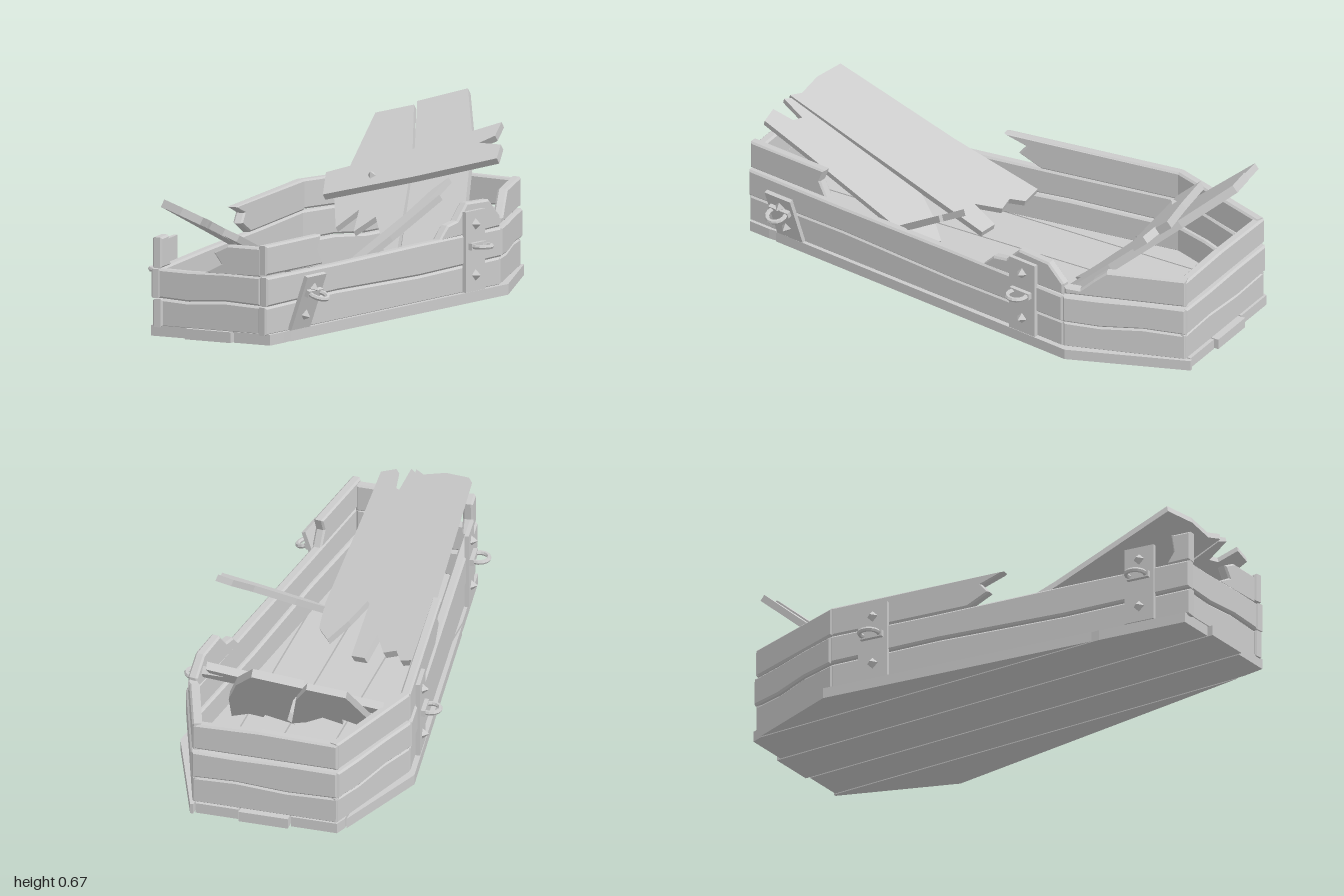
import * as THREE from 'three';

const mat = new THREE.MeshStandardMaterial({ color: 0xcccccc, flatShading: true });

function add(parent, geo, name) {
  const m = new THREE.Mesh(geo, mat);
  m.name = name;
  parent.add(m);
  return m;
}

const shapeOf = (pts) => new THREE.Shape(pts.map(([x, y]) => new THREE.Vector2(x, y)));

// Board seen from above: outline of [x, z], lying on the plane y = a + b x + c z
function slab(parent, name, outline, [a, b, c], t) {
  const geo = new THREE.ExtrudeGeometry(shapeOf(outline.map(([x, z]) => [x, -z])), { depth: t, bevelEnabled: false });
  const n = new THREE.Vector3(-b, 1, -c).normalize();
  const p = geo.attributes.position;
  for (let i = 0; i < p.count; i++) {
    const x = p.getX(i), z = -p.getY(i), h = p.getZ(i);
    p.setXYZ(i, x + n.x * h, a + b * x + c * z + n.y * h, z + n.z * h);
  }
  geo.computeVertexNormals();
  return add(parent, geo, name);
}

// Upright wall board: outline of [distance from start, height], thickness going inward
function wallBoard(parent, name, [ax, az], [bx, bz], outline, inset = 0) {
  const bev = 0.007;
  const geo = new THREE.ExtrudeGeometry(shapeOf(outline), {
    depth: 0.024, bevelEnabled: true, bevelSegments: 1, bevelSize: bev, bevelOffset: -bev, bevelThickness: bev,
  });
  geo.translate(0, 0, bev + inset);
  const X = new THREE.Vector3(bx - ax, 0, bz - az).normalize();
  const Y = new THREE.Vector3(0, 1, 0);
  geo.applyMatrix4(new THREE.Matrix4().makeBasis(X, Y, X.clone().cross(Y)).setPosition(ax, 0, az));
  return add(parent, geo, name);
}

// Iron strap with pyramid studs and a ring; local +z points out of the wall
function strap(parent, name, x, z, height, ringY, turn, tilt) {
  const g = new THREE.Group();
  g.name = name;
  g.position.set(x, 0.04, z);
  g.rotation.set(tilt, turn, 0, 'YXZ');
  add(g, new THREE.BoxGeometry(0.12, height, 0.016), 'strapPlate').position.y = height / 2;
  for (const y of [0.06, height - 0.05]) {
    const geo = new THREE.ConeGeometry(0.022, 0.025, 4).rotateX(Math.PI / 2);
    add(g, geo, 'stud').position.set(0, y, 0.02);
  }
  add(g, new THREE.BoxGeometry(0.09, 0.025, 0.025), 'ringBracket').position.set(0, ringY, 0.012);
  const ring = new THREE.TorusGeometry(0.036, 0.009, 6, 14).rotateX(Math.PI / 2);
  add(g, ring, 'ring').position.set(0, ringY, 0.038);
  parent.add(g);
}

export function createModel() {
  const model = new THREE.Group();
  model.name = 'brokenCoffin';

  // Floor boards cut to the six-sided outline
  const front = (x) => 0.97 - Math.max(0, Math.abs(x) - 0.25) / 0.2 * 1.49;
  const back = (x) => -0.96 + Math.max(0, Math.abs(x) - 0.28) / 0.17 * 0.44;
  const floor = new THREE.Group();
  floor.name = 'floor';
  model.add(floor);
  [[-0.45, -0.303, 0], [-0.297, -0.103, -0.015], [-0.097, 0.092, 0.005], [0.098, 0.262, -0.01], [0.268, 0.45, 0]].forEach(([x0, x1, shift]) => {
    const xs = [x0, ...[-0.28, -0.25, 0.25, 0.28].filter((x) => x > x0 && x < x1), x1];
    const outline = [
      ...xs.map((x) => [x, front(x) + shift]),
      ...xs.slice().reverse().map((x) => [x, back(x) - shift]),
    ].filter(([x], i, all) => i === 0 || Math.abs(x) < 0.449 || all[i - 1][0] !== x);
    slab(floor, 'floorBoard', outline, [0, 0, 0], 0.04);
  });

  // Walls: corners run around the coffin so that boards thicken inward
  const walls = new THREE.Group();
  walls.name = 'walls';
  model.add(walls);
  const HL = [-0.28, -0.94], HR = [0.28, -0.94], SR = [0.43, -0.5], SL = [-0.43, -0.5];
  const FR = [0.24, 0.97], FL = [-0.24, 0.97];
  const sides = [
    ['headWall', HL, HR, [[[0, 0.262], [0.56, 0.262], [0.56, 0.365], [0.3, 0.372], [0, 0.365]]]],
    ['rightShoulderWall', HR, SR, [[[0, 0.26], [0.46, 0.26], [0.46, 0.29], [0.4, 0.285], [0.35, 0.33], [0.3, 0.37], [0, 0.37]]]],
    ['rightWall', SR, FR, [
      [[0, 0.255], [0.38, 0.25], [0.33, 0.3], [0.27, 0.31], [0.21, 0.37], [0.07, 0.365], [0, 0.3]],
      [[1.12, 0.26], [1.48, 0.26], [1.48, 0.37], [1.13, 0.37], [1.15, 0.32]],
    ]],
    ['footWall', [0.21, 0.96], [-0.22, 0.96], [[[0, 0.25], [0.24, 0.25], [0.17, 0.29], [0.2, 0.33], [0.14, 0.36], [0, 0.36]]]],
    ['leftWall', FL, SL, [
      [[0, 0.255], [0.1, 0.255], [0.07, 0.3], [0.08, 0.37], [0, 0.37]],
      [[0.92, 0.255], [1.48, 0.255], [1.48, 0.37], [0.77, 0.37], [0.86, 0.335], [0.83, 0.3]],
    ]],
    ['leftShoulderWall', SL, HL, [[[0, 0.26], [0.46, 0.26], [0.46, 0.37], [0, 0.37]]]],
  ];
  sides.forEach(([name, a, b, broken], k) => {
    const L = Math.hypot(b[0] - a[0], b[1] - a[1]);
    const wave = k % 2 ? 0.006 : -0.006;
    const seam = (y, w) => [[0, y], [L * 0.35, y + w], [L * 0.7, y - w], [L, y]];
    wallBoard(walls, name + 'Bottom', a, b, [[0, 0.035], [L, 0.035], ...seam(0.14, wave).reverse()], 0.003);
    wallBoard(walls, name + 'Middle', a, b, [...seam(0.144, wave), ...seam(0.252, 0.002).reverse()], -0.004);
    for (const piece of broken) wallBoard(walls, name + 'Top', a, b, piece, 0.002);
  });

  // Straps with rings
  const turn = Math.atan2(1.47, 0.19);
  strap(model, 'rightShoulderStrap', 0.413, -0.32, 0.3, 0.17, turn, 0);
  strap(model, 'leftShoulderStrap', -0.413, -0.32, 0.3, 0.17, -turn, 0);
  strap(model, 'leftFootStrap', -0.272, 0.77, 0.3, 0.18, -turn, 0);
  strap(model, 'rightFootStrapLoose', 0.268, 0.77, 0.22, 0.155, turn, 0.35);

  // Foot half of the lid, fallen in and tipped up at the foot end
  const foot = [0.03, -0.35, 0.4];
  const footLid = new THREE.Group();
  footLid.name = 'footLid';
  model.add(footLid);
  slab(footLid, 'footLidWideBoard', [
    [-0.25, 0.88], [-0.15, 0.92], [-0.06, 0.93], [-0.024, 0.96], [-0.024, 0.13], [-0.08, 0.11], [-0.1, 0.21],
    [-0.15, 0.12], [-0.2, 0.12], [-0.23, 0.07], [-0.3, 0.06], [-0.27, 0.4],
  ], foot, 0.03);
  slab(footLid, 'footLidNarrowBoard', [
    [-0.02, 0.95], [0.0, 0.97], [0.02, 0.88], [0.05, 0.9], [0.06, 0.98], [0.12, 0.98], [0.13, 0.8], [0.16, 0.4],
    [0.15, 0.29], [0.1, 0.23], [0.04, 0.3], [-0.01, 0.38],
  ], foot, 0.026);

  // Head half of the lid, leaning out over the head end
  const headLid = new THREE.Group();
  headLid.name = 'headLid';
  model.add(headLid);
  const head = [-0.23, 0, -0.87];
  slab(headLid, 'headLidLeftBoard', [
    [-0.3, -0.9], [-0.16, -0.94], [-0.06, -0.74], [0.07, -0.36], [0.0, -0.41], [-0.05, -0.47], [-0.1, -0.53],
    [-0.16, -0.47], [-0.18, -0.55], [-0.24, -0.48], [-0.3, -0.58],
  ], head, 0.026);
  slab(headLid, 'headLidRightBoard', [
    [-0.15, -0.95], [0.03, -1.01], [0.14, -0.84], [0.24, -0.6], [0.31, -0.33], [0.22, -0.41], [0.17, -0.39],
    [0.15, -0.43], [0.06, -0.35], [0.075, -0.4], [-0.05, -0.74],
  ], head, 0.032);
  const bar = slab(headLid, 'crossBar', [
    [-0.36, -0.63], [-0.05, -0.74], [0.25, -0.86], [0.25, -0.81], [0.2, -0.78], [0.29, -0.78], [0.3, -0.73],
    [0, -0.64], [-0.33, -0.55],
  ], [-0.19, 0, -0.87], 0.03);
  bar.position.y = 0.003;
  const stud = add(headLid, new THREE.ConeGeometry(0.025, 0.03, 4), 'crossBarStud');
  stud.position.set(-0.17, 0.39, -0.61);
  stud.rotation.x = Math.atan(0.87);

  // Loose split board leaning on the right wall
  slab(model, 'looseBoard', [
    [0.15, 0.4], [0.22, 0.37], [0.35, 0.19], [0.46, 0.01], [0.42, 0.02], [0.445, -0.09], [0.4, -0.04],
    [0.35, 0.07], [0.24, 0.24],
  ], [0.274, 0.344, -0.55], 0.025);

  return model;
}
